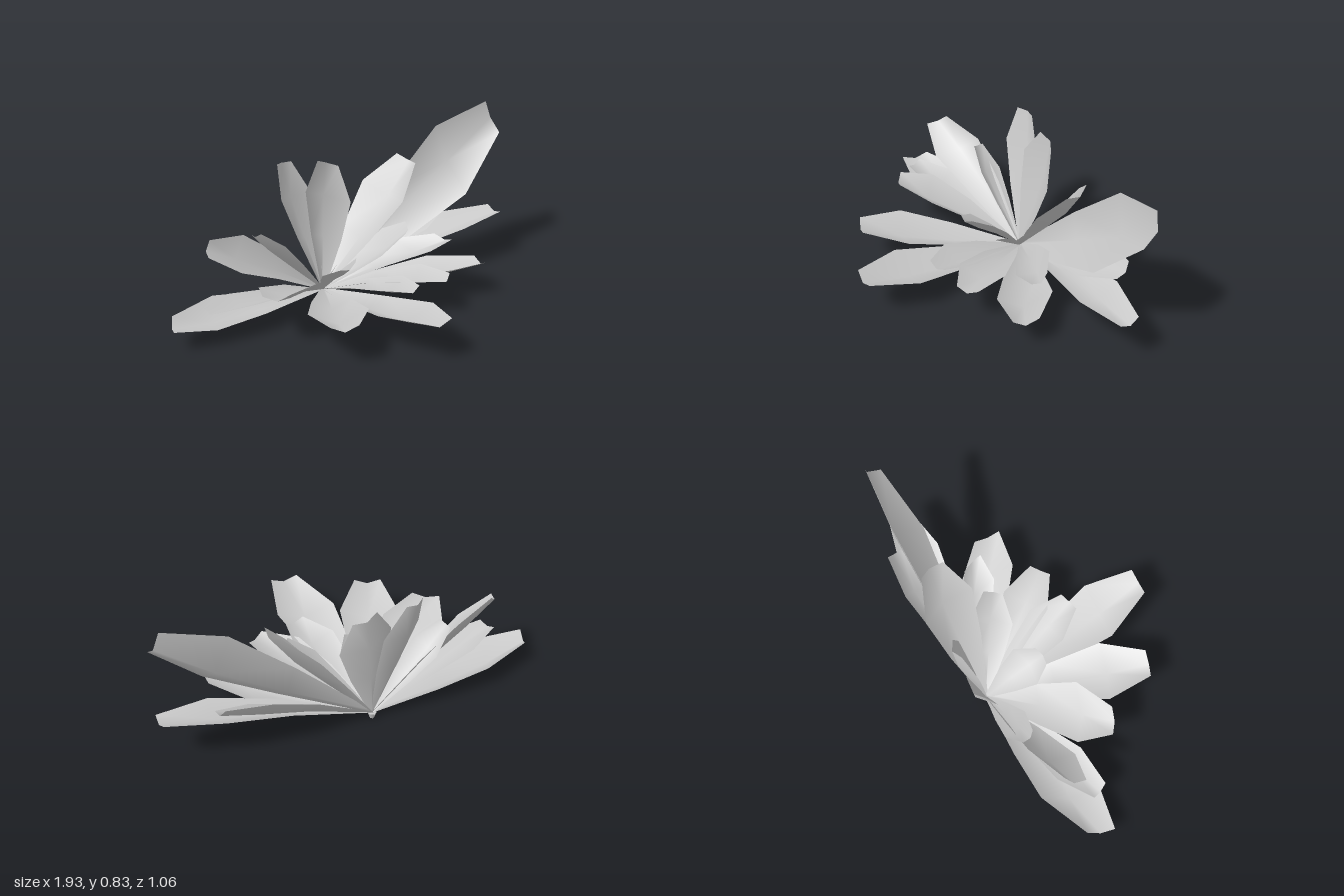
import * as THREE from 'three';

const BASE = new THREE.Vector3(-0.07, 0.03, -0.4);

// Cross-sections along a leaf: [position, relative width]
const SECTIONS = [[0, 0.07], [0.42, 0.68], [0.74, 1], [1, 0.46]];

// Each leaf: name, tip, half-width vector at the widest section, upward arch
const LEAVES = [
  ['tallRightLeaf', [0.95, 0.75, -0.33], [0.03, -0.165, 0.09], 0],
  ['lowRightLeaf', [0.93, 0.26, -0.26], [0, -0.01, 0.11], 0.04],
  ['backRightLeaf', [0.7, 0.34, -0.41], [0.02, -0.06, 0.09], 0.03],
  ['frontRightLeaf', [0.58, 0.17, 0.05], [-0.03, 0.02, 0.14], 0],
  ['middleRightLeaf', [0.47, 0.27, -0.11], [0.03, 0, 0.12], 0.02],
  ['uprightRightLeaf', [0.42, 0.63, -0.35], [0.02, -0.02, 0.14], 0],
  ['innerRightLeaf', [0.25, 0.37, -0.13], [0.06, 0.03, -0.08], 0],
  ['uprightCentreLeaf', [0.02, 0.66, -0.48], [0.12, -0.05, 0.02], 0],
  ['uprightLeftLeaf', [-0.21, 0.7, -0.52], [0.1, -0.01, -0.02], 0],
  ['highLeftLeaf', [-0.74, 0.44, -0.35], [0.06, 0.05, -0.09], 0.03],
  ['lowLeftLeaf', [-0.95, 0.11, -0.34], [-0.06, -0.02, 0.13], -0.01],
  ['middleLeftLeaf', [-0.8, 0.18, -0.24], [0.03, 0, 0.09], 0.02],
  ['archedLeftLeaf', [-0.58, 0.28, -0.01], [0.12, 0.01, 0.08], 0.03],
  ['frontLeftLeaf', [-0.43, 0.21, 0.31], [0.13, 0, 0.06], 0],
  ['longFrontLeaf', [-0.06, 0.21, 0.52], [0.145, 0, 0.02], -0.01],
  ['shortFrontLeaf', [0.05, 0.21, 0.18], [0.11, 0, -0.02], 0.02],
  ['sideFrontLeaf', [0.27, 0.2, 0.16], [0.1, 0, -0.06], 0.03],
  ['narrowLeftLeaf', [-0.45, 0.42, -0.4], [0.02, 0.02, 0.07], 0],
  ['innerFrontLeaf', [-0.12, 0.27, -0.1], [0.1, 0.02, 0], 0.02],
];

// A leaf blade folded along its midrib, lofted through the sections
function leafGeometry(tipPos, halfWidth, arch) {
  const tip = new THREE.Vector3(...tipPos);
  const side = new THREE.Vector3(...halfWidth);
  const normal = tip.clone().sub(BASE).cross(side).normalize();
  if (normal.y + normal.z < 0) {
    normal.negate();
    side.negate();
  }
  const positions = [];
  const index = [];
  SECTIONS.forEach(([t, width], row) => {
    const centre = BASE.clone().lerp(tip, t);
    centre.y += 4 * t * (1 - t) * arch;
    for (const s of [-1, 0, 1]) {
      const fold = (Math.abs(s) - 0.5) * 0.42 * width * side.length();
      const p = centre.clone().addScaledVector(side, s * width).addScaledVector(normal, fold);
      positions.push(p.x, p.y, p.z);
    }
    if (row === 0) return;
    for (const k of [0, 1]) {
      const a = (row - 1) * 3 + k;
      index.push(a, a + 3, a + 1, a + 1, a + 3, a + 4);
    }
  });
  const geometry = new THREE.BufferGeometry();
  geometry.setAttribute('position', new THREE.Float32BufferAttribute(positions, 3));
  geometry.setIndex(index);
  geometry.computeVertexNormals();
  return geometry;
}

export function createModel() {
  const model = new THREE.Group();
  model.name = 'leafRosette';
  const material = new THREE.MeshStandardMaterial({ color: 0xcccccc, side: THREE.DoubleSide });

  // Leaves fanning out from one root
  for (const [name, tip, halfWidth, arch] of LEAVES) {
    const leaf = new THREE.Mesh(leafGeometry(tip, halfWidth, arch), material);
    leaf.name = name;
    model.add(leaf);
  }

  // Small root stub under the leaves
  const stem = new THREE.Mesh(new THREE.CylinderGeometry(0.022, 0.012, 0.03, 6), material);
  stem.name = 'rootStub';
  stem.position.set(BASE.x, 0.015, BASE.z);
  model.add(stem);
  return model;
}
